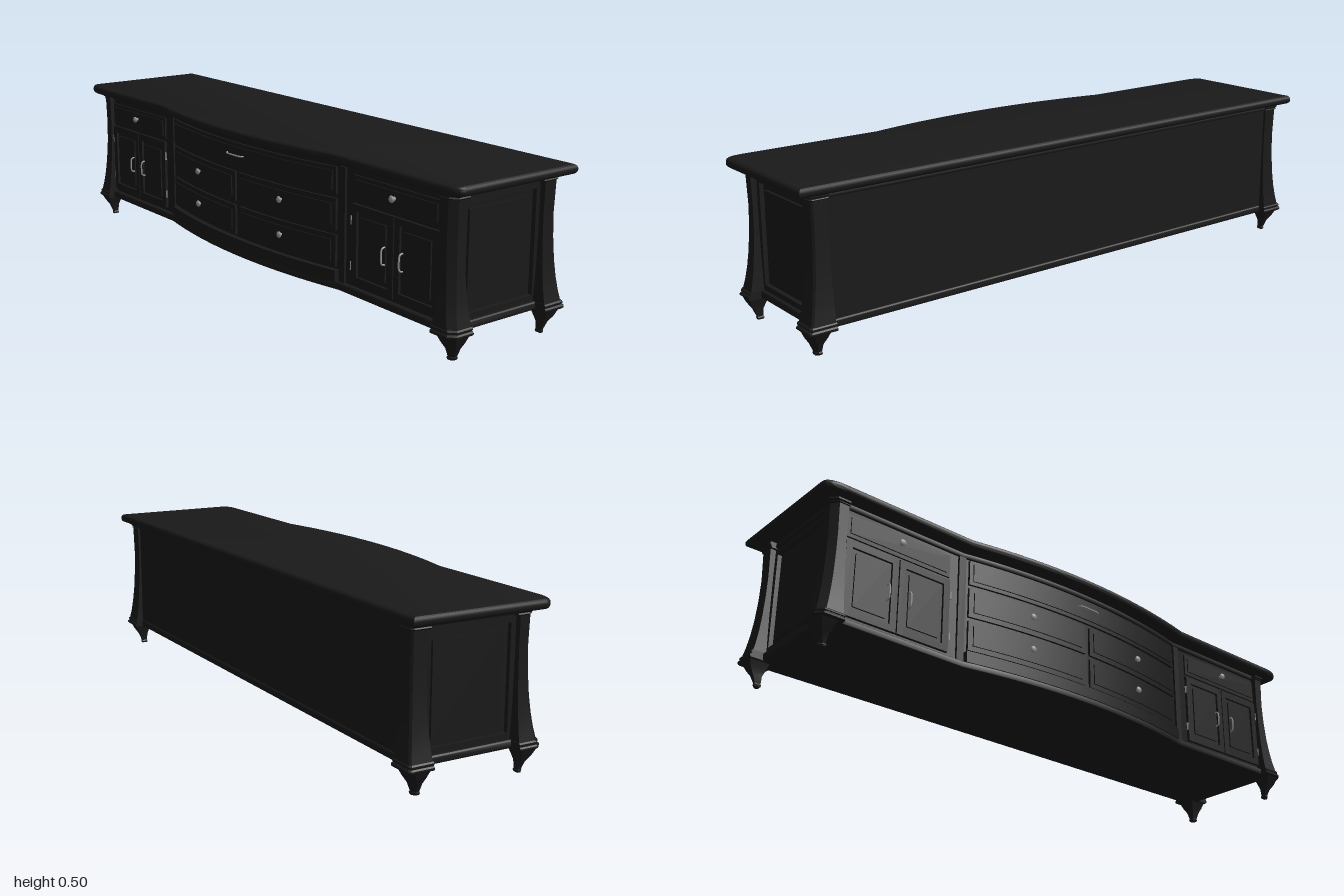
import * as THREE from 'three';
import { toCreasedNormals } from 'three/addons/utils/BufferGeometryUtils.js';

const wood = new THREE.MeshStandardMaterial({ color: 0x1a1a1a });
const metal = new THREE.MeshStandardMaterial({ color: 0x999999 });
const FRONT = 0.153; // z of the straight cabinet front
const bow = (x) => 0.05 * Math.max(0, 1 - (x / 0.47) ** 2);

export function createModel() {
  const root = new THREE.Group();
  const add = (name, geo, mat = wood) => {
    const m = new THREE.Mesh(geo, mat);
    m.name = name;
    root.add(m);
    return m;
  };

  // Horizontal slab with a bowed front, rounded front corners and soft edges
  function slab(name, hx, zBack, zFront, y0, y1, bevel, cx, cz) {
    const s = new THREE.Shape();
    s.moveTo(-hx, -zBack);
    s.lineTo(-hx, -(zFront - cz));
    if (cx) s.quadraticCurveTo(-hx, -zFront, -hx + cx, -zFront);
    for (let i = 0; i <= 32; i++) {
      const x = -0.47 + (0.94 * i) / 32;
      s.lineTo(x, -(zFront + bow(x)));
    }
    s.lineTo(hx - cx, -zFront);
    if (cx) s.quadraticCurveTo(hx, -zFront, hx, -(zFront - cz));
    s.lineTo(hx, -zBack);
    const g = new THREE.ExtrudeGeometry(s, {
      depth: y1 - y0 - 2 * bevel, bevelEnabled: bevel > 0, bevelThickness: bevel,
      bevelSize: bevel, bevelOffset: -bevel, bevelSegments: 4, curveSegments: 8,
    });
    g.rotateX(-Math.PI / 2).translate(0, y0 + bevel, 0);
    add(name, toCreasedNormals(g, 0.6));
  }

  // Board on the front that follows the bow
  function board(name, x0, x1, y0, y1, proud) {
    const n = Math.abs(x0 + x1) < 0.94 ? Math.ceil((x1 - x0) / 0.04) : 1;
    const g = new THREE.BoxGeometry(x1 - x0, y1 - y0, proud + 0.01, n, 1, 1);
    g.translate((x0 + x1) / 2, (y0 + y1) / 2, FRONT + (proud - 0.01) / 2);
    const p = g.attributes.position;
    for (let i = 0; i < p.count; i++) p.setZ(i, p.getZ(i) + bow(p.getX(i)));
    add(name, toCreasedNormals(g, 0.6));
  }

  // Drawer front: stepped base and raised field
  function drawer(x0, x1, y0, y1, proud, inset = 0.015) {
    board('drawerFront', x0, x1, y0, y1, proud - 0.004);
    board('drawerField', x0 + inset, x1 - inset, y0 + inset, y1 - inset, proud);
  }

  // Door: four rails around a raised field
  function door(x0, x1, y0, y1) {
    const w = 0.022, p = 0.01;
    board('doorStile', x0, x0 + w, y0, y1, p);
    board('doorStile', x1 - w, x1, y0, y1, p);
    board('doorRail', x0 + w, x1 - w, y0, y0 + w, p);
    board('doorRail', x0 + w, x1 - w, y1 - w, y1, p);
    board('doorPanel', x0 + w, x1 - w, y0 + w, y1 - w, 0.002);
    board('doorField', x0 + w + 0.014, x1 - w - 0.014, y0 + w + 0.014, y1 - w - 0.014, 0.007);
  }

  // Corner column from levels [y, xInner, xOuter, zInner, zOuter]
  function column(name, levels, sx, sz, ch) {
    const pos = [], idx = [], n = 5;
    for (const [y, xi, xo, zi, zo] of levels) {
      const c = Math.min(ch, (xo - xi) * 0.45);
      const ring = [[xi, zi], [xi, zo], [xo - c, zo], [xo, zo - c], [xo, zi]];
      if (sx * sz < 0) ring.reverse();
      for (const [x, z] of ring) pos.push(sx * x, y, sz * z);
    }
    const top = (levels.length - 1) * n;
    for (let k = 0; k < top; k += n) {
      for (let i = 0; i < n; i++) {
        const a = k + i, b = k + ((i + 1) % n);
        idx.push(a, b, b + n, a, b + n, a + n);
      }
    }
    for (let i = 1; i < n - 1; i++) idx.push(0, i + 1, i, top, top + i, top + i + 1);
    const g = new THREE.BufferGeometry();
    g.setAttribute('position', new THREE.Float32BufferAttribute(pos, 3));
    g.setIndex(idx);
    add(name, toCreasedNormals(g, 0.5));
  }

  // Top, cornice, carcass and base moulding
  slab('top', 1, -0.262, 0.205, 0.475, 0.505, 0.013, 0.07, 0.035);
  slab('cornice', 0.94, -0.232, FRONT + 0.006, 0.457, 0.476, 0.005, 0, 0);
  slab('carcass', 0.92, -0.226, FRONT, 0.077, 0.47, 0, 0, 0);
  slab('baseMoulding', 0.945, -0.23, FRONT + 0.016, 0.075, 0.1, 0.006, 0, 0);

  // Corner posts, mouldings and legs
  for (const sx of [-1, 1]) {
    for (const sz of [-1, 1]) {
      const f = sz > 0;
      const zi = f ? 0.122 : 0.185, zt = f ? 0.17 : 0.233, ch = f ? 0.02 : 0.006;
      const flare = [[0.085, 0.03], [0.1, 0.027], [0.13, 0.02], [0.17, 0.013],
        [0.22, 0.007], [0.29, 0.002], [0.36, 0], [0.47, 0.003]];
      column('cornerPost', flare.map(([y, d]) =>
        [y, 0.9, 0.95 + d, zi - d * 0.3, zt + d * 0.65]), sx, sz, ch);
      const ring = (y0, y1, d, e) => [[y0, -0.004], [y0 + 0.004, 0], [y1 - 0.004, 0], [y1, -0.004]]
        .map(([y, o]) => [y, 0.898, 0.95 + d + o, zi - 0.01, zt + e + o]);
      column('postBaseMoulding', ring(0.075, 0.088, 0.036, 0.024), sx, sz, ch);
      column('postBaseMoulding', ring(0.088, 0.1, 0.033, 0.021), sx, sz, ch);
      column('postCap', ring(0.455, 0.463, 0.007, 0.004), sx, sz, ch);
      column('postCap', ring(0.463, 0.476, 0.01, 0.006), sx, sz, ch);
      const zf = f ? 0.136 : 0.199;
      column('leg', [
        [0, 0.931, 0.949, zf, zf + 0.018], [0.006, 0.929, 0.951, zf - 0.002, zf + 0.02],
        [0.01, 0.931, 0.95, zf, zf + 0.018], [0.035, 0.93, 0.96, zf - 0.002, zf + 0.027],
        [0.055, 0.922, 0.972, zf - 0.007, zf + 0.039], [0.076, 0.915, 0.98, zf - 0.014, zf + 0.049],
      ], sx, sz, 0.012);
    }
  }

  // Side panels: frame, and a raised field in a groove
  for (const s of [-1, 1]) {
    const part = (name, z0, z1, y0, y1, x) => {
      const g = new THREE.BoxGeometry(0.02, y1 - y0, z1 - z0);
      add(name, g.translate(s * (x - 0.01), (y0 + y1) / 2, (z0 + z1) / 2));
    };
    part('sideStile', 0.105, 0.13, 0.1, 0.457, 0.934);
    part('sideStile', -0.19, -0.17, 0.1, 0.457, 0.934);
    part('sideRail', -0.17, 0.105, 0.1, 0.118, 0.934);
    part('sideRail', -0.17, 0.105, 0.435, 0.457, 0.934);
    part('sideField', -0.15, 0.085, 0.138, 0.415, 0.928);
  }

  // Hardware helpers
  const knobProfile = [[0, 0], [0.007, 0], [0.004, 0.003], [0.004, 0.006],
    [0.01, 0.01], [0.011, 0.013], [0.007, 0.017], [0, 0.018]].map((p) => new THREE.Vector2(...p));
  function knob(x, y) {
    const g = new THREE.LatheGeometry(knobProfile, 16).rotateX(Math.PI / 2);
    add('knob', g).material = metal;
    g.translate(x, y, FRONT + bow(x) + 0.009);
  }
  function pull(x, y, half, vertical) {
    const pts = [[-1, 0], [-0.85, 0.011], [0, 0.014], [0.85, 0.011], [1, 0]].map(([t, d]) =>
      new THREE.Vector3(vertical ? 0 : t * half, vertical ? t * half : 0, d));
    const g = new THREE.TubeGeometry(new THREE.CatmullRomCurve3(pts), 20, 0.0028, 8);
    add('pullHandle', g.translate(x, y, FRONT + bow(x) + 0.009), metal);
  }

  // Side cabinets: a drawer over a pair of doors
  for (const s of [-1, 1]) {
    const span = (a, b) => (s > 0 ? [a, b] : [-b, -a]);
    drawer(...span(0.525, 0.895), 0.367, 0.443, 0.01, 0.012);
    door(...span(0.525, 0.708), 0.113, 0.357);
    door(...span(0.712, 0.895), 0.113, 0.357);
    knob(s * 0.71, 0.41);
    pull(s * 0.672, 0.232, 0.027, true);
    pull(s * 0.748, 0.232, 0.027, true);
    for (const x of [0.521, 0.897]) {
      for (const y of [0.165, 0.305]) {
        const h = new THREE.CylinderGeometry(0.003, 0.003, 0.026, 8);
        add('hinge', h.translate(s * x, y, FRONT + 0.008), metal);
      }
    }
    board('divider', ...span(0.465, 0.49), 0.1, 0.457, 0.008);

    // Centre drawers in two rows
    for (const y of [0.143, 0.256]) {
      drawer(...span(0.01, 0.452), y, y + 0.1, 0.012, 0.016);
      knob(s * 0.231, y + 0.057);
    }
  }

  // Wide top drawer and apron
  drawer(-0.452, 0.452, 0.368, 0.452, 0.012, 0.012);
  pull(0, 0.415, 0.045, false);
  board('apron', -0.46, 0.46, 0.098, 0.135, 0.018);

  return root;
}
